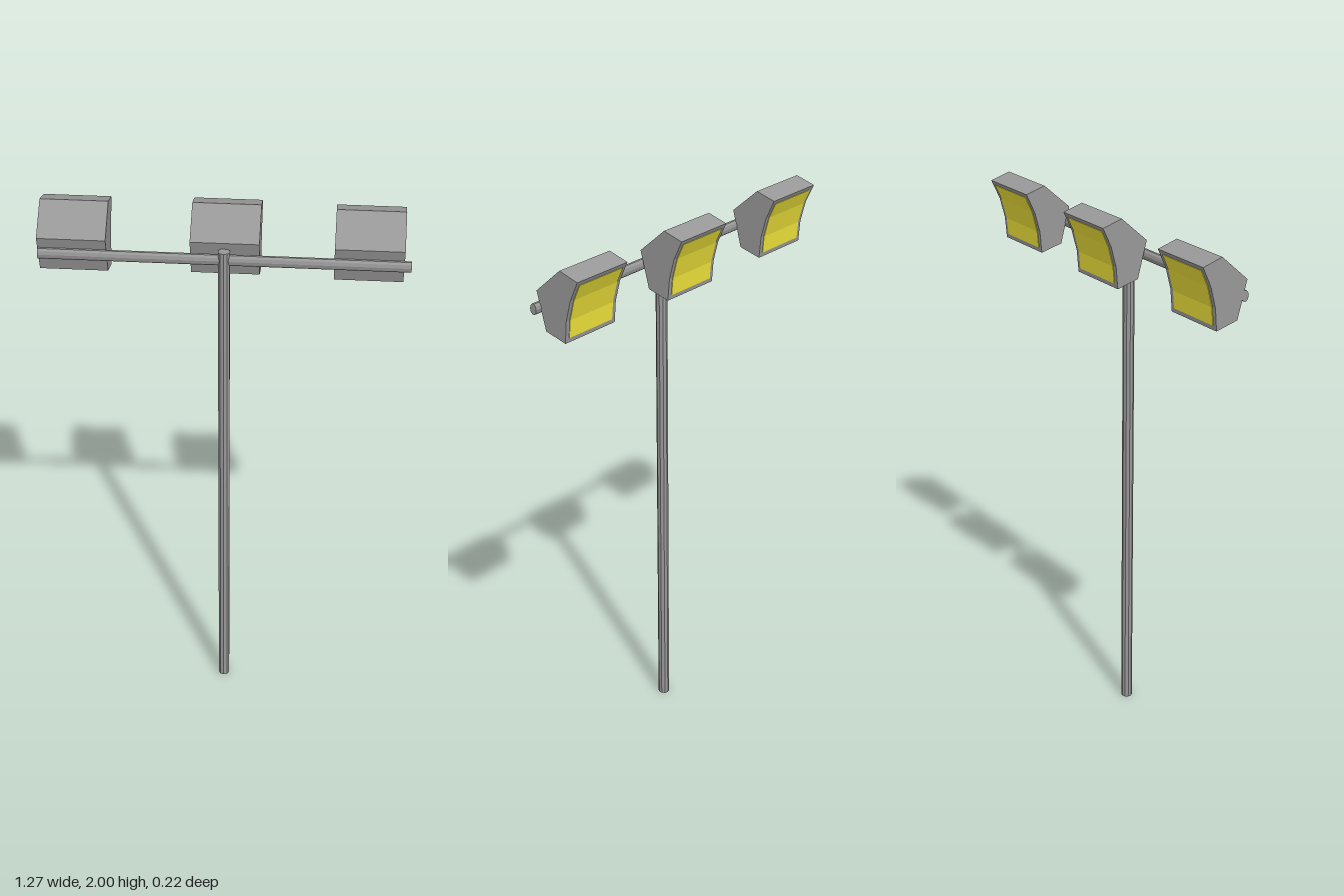
import * as THREE from 'three';

const grey = new THREE.MeshStandardMaterial({ color: 0x989898, flatShading: true });
const yellow = new THREE.MeshStandardMaterial({ color: 0xf4e83c, flatShading: true });

const WIDTH = 0.235, RIM = 0.016, DENT = 0.014;

// Point on the hollow lamp face: t runs from top to bottom, depth goes inwards.
// Profiles are drawn as (-z, y).
function facePoint(t, depth = 0) {
  const inset = depth + DENT * Math.min(1, 3 * t, 3 * (1 - t));
  return new THREE.Vector2(0.098 - 0.062 * t - 0.964 * inset, 1.98 - 0.228 * t + 0.266 * inset);
}

// Extrudes a (-z, y) profile along x, centred on x = 0.
function extrudeX(name, points, width, material) {
  const geometry = new THREE.ExtrudeGeometry(new THREE.Shape(points), { depth: width, bevelEnabled: false });
  geometry.rotateY(Math.PI / 2).translate(-width / 2, 0, 0);
  const mesh = new THREE.Mesh(geometry, material);
  mesh.name = name;
  return mesh;
}

function createLamp(name, x, z) {
  const lamp = new THREE.Group();
  lamp.name = name;

  // Wedge-backed housing with a hollow three-facet face
  const back = [[-0.05, 1.772], [-0.087, 1.905], [0.02, 2.0]].map(([a, b]) => new THREE.Vector2(a, b));
  const face = [0, 1 / 3, 2 / 3, 1].map(t => facePoint(t));
  lamp.add(extrudeX('lampHousing', [...back, ...face], WIDTH, grey));

  // Thin light panel following the face, leaving a rim all round
  const ts = [0.07, 1 / 3, 2 / 3, 0.93];
  const panel = [...ts.map(t => facePoint(t, -0.002)), ...ts.map(t => facePoint(t, 0.002)).reverse()];
  lamp.add(extrudeX('lightPanel', panel, WIDTH - 2 * RIM, yellow));

  lamp.position.set(x, 0, z);
  return lamp;
}

export function createModel() {
  const model = new THREE.Group();
  model.name = 'floodlight';

  // Upright pole
  const pole = new THREE.Mesh(new THREE.CylinderGeometry(0.021, 0.021, 1.88, 10), grey);
  pole.name = 'pole';
  pole.position.set(0.001, 0.94, 0.086);
  model.add(pole);

  // Flattened crossbar
  const barGeometry = new THREE.CylinderGeometry(0.02, 0.02, 1.264, 10);
  barGeometry.rotateZ(Math.PI / 2).scale(1, 1, 0.7);
  const bar = new THREE.Mesh(barGeometry, grey);
  bar.name = 'crossbar';
  bar.position.set(-0.001, 1.848, 0.085);
  model.add(bar);

  // Three lamps, the middle one set a little clear of the pole
  model.add(createLamp('rightLamp', -0.517, 0.003));
  model.add(createLamp('middleLamp', 0.002, -0.011));
  model.add(createLamp('leftLamp', 0.49, 0.003));
  return model;
}
